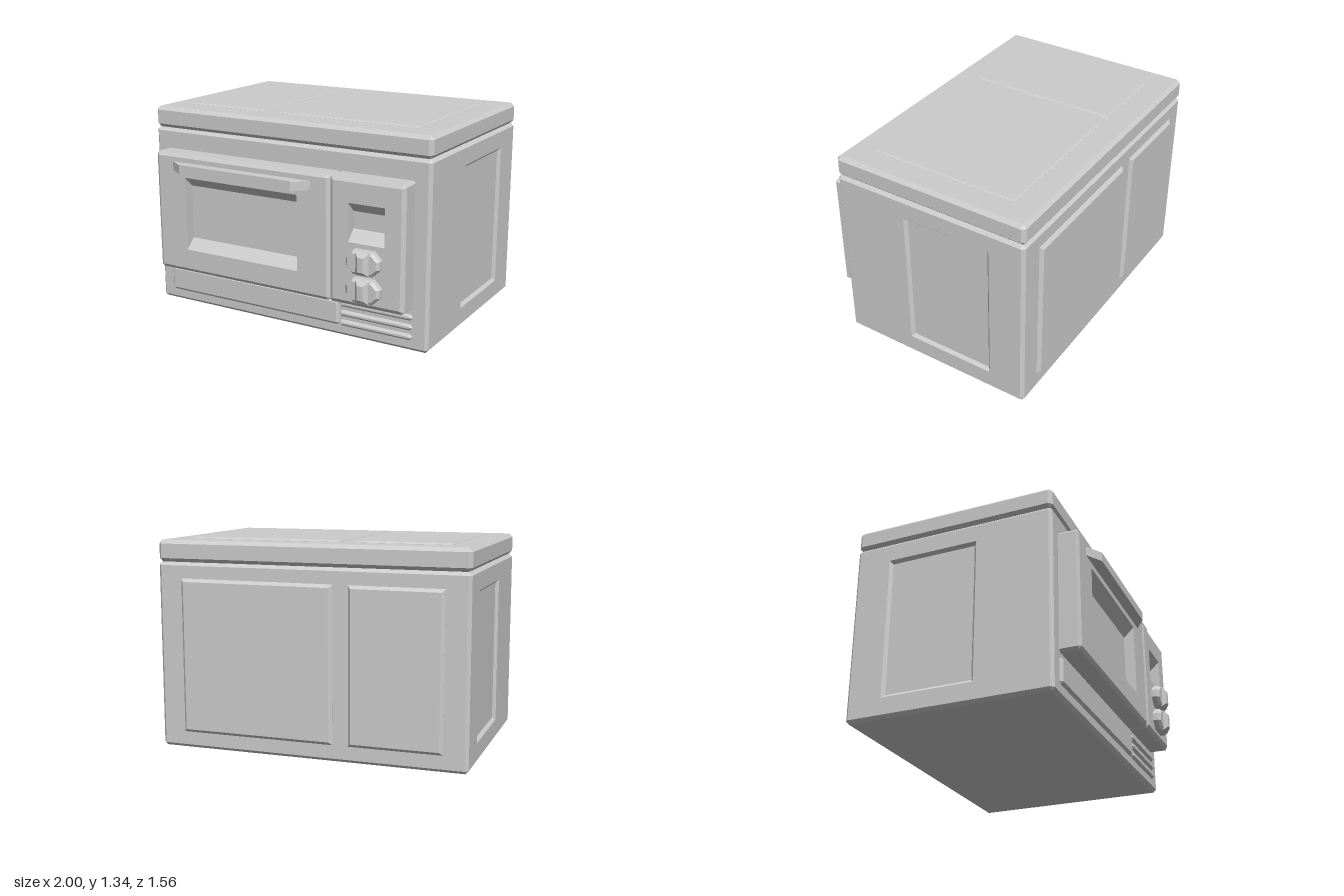
import * as THREE from 'three';

const grey = new THREE.MeshStandardMaterial({ color: 0xcccccc });
grey.name = 'satin grey';

// Rectangle [x0, x1, y0, y1] with cut corners, counter-clockwise
function outline([x0, x1, y0, y1], cut = 0.001) {
  return [
    [x0 + cut, y0], [x1 - cut, y0], [x1, y0 + cut], [x1, y1 - cut],
    [x1 - cut, y1], [x0 + cut, y1], [x0, y1 - cut], [x0, y0 + cut],
  ].map(([x, y]) => new THREE.Vector2(x, y));
}

const inset = ([x0, x1, y0, y1], dx, dy = dx) => [x0 + dx, x1 - dx, y0 + dy, y1 - dy];

// Loft through sections {z, rect, cut} along z, capped at the last one.
// Falling z makes an inward-facing recess. Holes are rects left open in the cap.
function loft(sections, holes = []) {
  const pos = [];
  const rings = sections.map((s) => outline(s.rect, s.cut).map((p) => [p.x, p.y, s.z]));
  for (let i = 0; i + 1 < rings.length; i++) {
    const a = rings[i], b = rings[i + 1];
    for (let j = 0; j < 8; j++) {
      const k = (j + 1) % 8;
      pos.push(...a[j], ...a[k], ...b[k], ...a[j], ...b[k], ...b[j]);
    }
  }
  const last = sections[sections.length - 1];
  const shape = new THREE.Shape(outline(last.rect, last.cut));
  shape.holes = holes.map((r) => new THREE.Path(outline(r).reverse()));
  const cap = new THREE.ShapeGeometry(shape).toNonIndexed().translate(0, 0, last.z);
  pos.push(...cap.attributes.position.array);
  const geo = new THREE.BufferGeometry();
  geo.setAttribute('position', new THREE.Float32BufferAttribute(pos, 3));
  geo.computeVertexNormals();
  return geo;
}

// Slab from z0 to z1 with a bevelled front edge
function slab(rect, z0, z1, bevel, cut = 0.001, holes = [], depth = bevel) {
  return loft([
    { z: z0, rect, cut },
    { z: z1 - depth, rect, cut },
    { z: z1, rect: inset(rect, bevel) , cut: Math.max(0.001, cut - bevel) },
  ], holes);
}

// Recess going inward from z by depth, narrowing by dx and dy
function recess(rect, z, depth, dx, dy) {
  return loft([{ z, rect }, { z: z - depth, rect: inset(rect, dx, dy) }]);
}

export function createModel() {
  const group = new THREE.Group();
  const add = (name, geo, rx = 0, ry = 0) => {
    const mesh = new THREE.Mesh(geo, grey);
    mesh.name = name;
    mesh.rotation.set(rx, ry, 0);
    group.add(mesh);
  };

  // Body and lid, built as two halves facing +x and -x
  for (const s of [1, -1]) {
    const turn = (s * Math.PI) / 2;
    const side = s > 0 ? 'left' : 'right';
    const rect = (z0, z1, y0, y1) => (s > 0 ? [-z1, -z0, y0, y1] : [z0, z1, y0, y1]);
    const panel = rect(-0.52, 0.08, 0.13, 1.06);
    add(side + 'Body', slab(rect(-0.757, 0.57, 0, 1.188), 0, 1, 0.02, 0.02, [panel]), 0, turn);
    add(side + 'SidePanel', recess(panel, 1, 0.02, 0.019, 0.019), 0, turn);
    add(side + 'Lid', slab(rect(-0.757, 0.57, 1.188, 1.325), 0, 1, 0.023, 0.023), 0, turn);
  }

  // Raised panels on the lid and the back: one narrow, one wide
  for (const [x0, x1] of [[-0.845, -0.26], [-0.145, 0.835]]) {
    add('topPanel', slab([x0, x1, -0.395, 0.583], 1.31, 1.336, 0.01), -Math.PI / 2);
  }
  for (const [x0, x1] of [[-0.85, -0.26], [-0.16, 0.84]]) {
    add('backPanel', slab([-x1, -x0, 0.105, 1.088], 0.74, 0.778, 0.02), 0, Math.PI);
  }

  // Door with sunken window, and control panel with sunken display
  const windowRect = [-0.675, 0.17, 0.42, 0.905];
  const displayRect = [0.528, 0.77, 0.665, 0.905];
  add('door', slab([-0.905, 0.398, 0.268, 1.056], 0.55, 0.698, 0.022, 0.015, [windowRect], 0.016));
  add('window', recess(windowRect, 0.698, 0.07, 0, 0.066));
  add('controlPanel', slab([0.398, 0.9, 0.268, 1.056], 0.55, 0.698, 0.025, 0.015, [displayRect], 0.016));
  add('display', recess(displayRect, 0.698, 0.07, 0, 0.066));

  // Handle tapering outward at both ends
  add('handle', loft([
    { z: 0.69, rect: [-0.78, 0.28, 0.943, 1.004] },
    { z: 0.765, rect: [-0.665, 0.168, 0.943, 1.004] },
  ]));

  // Knobs with raised grips
  for (const y of [0.562, 0.388]) {
    add('knob', slab([0.533, 0.76, y - 0.075, y + 0.075], 0.69, 0.75, 0.018, 0.05));
    add('knobGrip', loft([
      { z: 0.73, rect: [0.608, 0.695, y - 0.073, y + 0.073] },
      { z: 0.752, rect: [0.608, 0.695, y - 0.07, y + 0.07] },
      { z: 0.777, rect: [0.632, 0.67, y - 0.045, y + 0.045] },
    ]));
  }

  // Plinth strip and vent ridges below the door
  add('plinth', slab([-0.905, 0.4, 0.07, 0.238], 0.55, 0.587, 0.018, 0.015));
  for (const y of [0.216, 0.153, 0.09]) {
    add('vent', slab([0.4, 0.902, y - 0.02, y + 0.02], 0.55, 0.587, 0.014, 0.018));
  }
  return group;
}
